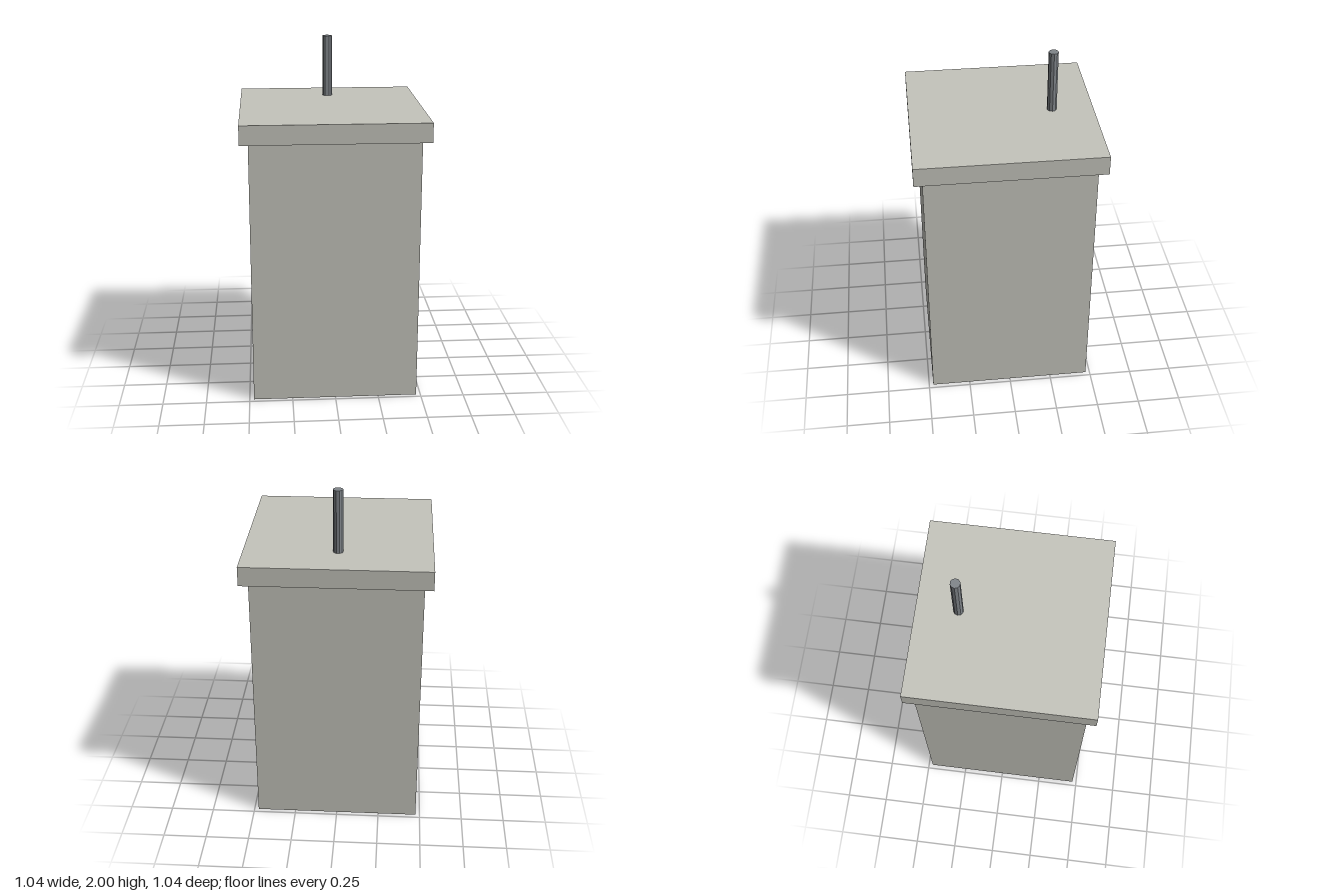
import * as THREE from 'three';

export function createModel() {
  const model = new THREE.Group();
  const stone = new THREE.MeshStandardMaterial({ color: 0xc4c4bc, flatShading: true });
  const metal = new THREE.MeshStandardMaterial({ color: 0x80858a, flatShading: true });

  // Adds a mesh whose base sits at the given height
  const add = (name, geometry, material, height, baseY, z = 0) => {
    const mesh = new THREE.Mesh(geometry, material);
    mesh.name = name;
    mesh.position.set(0, baseY + height / 2, z);
    model.add(mesh);
    return mesh;
  };

  // Square pillar and its overhanging cap
  add('pillar', new THREE.BoxGeometry(0.95, 1.53, 0.95), stone, 1.53, 0);
  add('cap', new THREE.BoxGeometry(1.045, 0.11, 1.045), stone, 0.11, 1.53);

  // Ten-sided rod standing towards the back of the cap
  const rod = add('rod', new THREE.CylinderGeometry(0.028, 0.028, 0.36, 10), metal, 0.36, 1.64, -0.287);
  rod.rotation.y = Math.PI / 2;

  return model;
}
